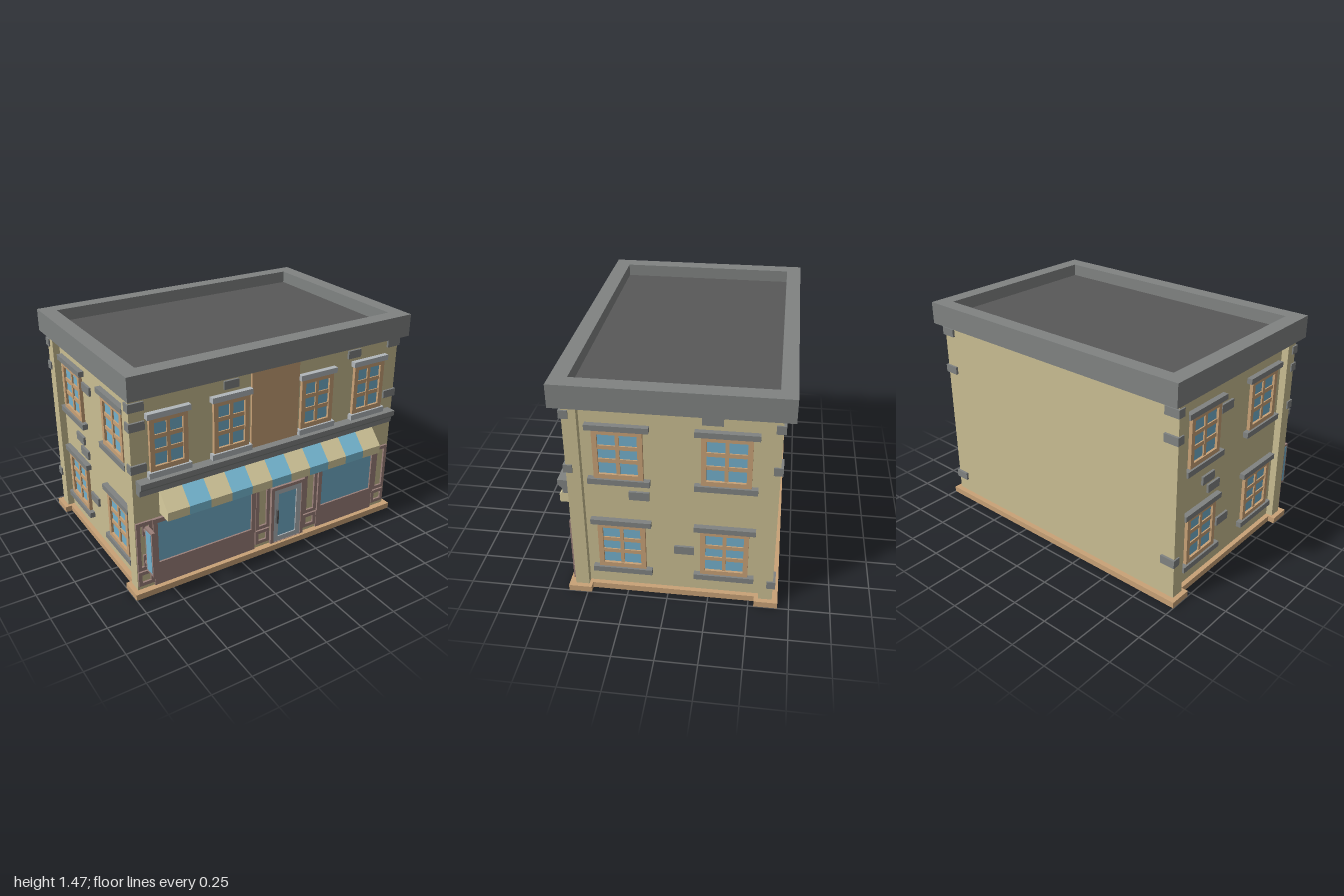
import * as THREE from 'three';

const mat = (name, color) => {
  const m = new THREE.MeshStandardMaterial({ color });
  m.name = name;
  return m;
};

export function createModel() {
  const wall = mat('sand wall', 0xcabe92), wood = mat('tan wood', 0xc9a277), stone = mat('grey stone', 0x808382);
  const trim = mat('pale grey trim', 0xb1b6ba), glass = mat('blue glass', 0x74b1cc), plum = mat('dusty plum', 0x9c817b);
  const deck = mat('dark roof', 0x585858), cream = mat('cream cloth', 0xd8cc9e), sky = mat('blue cloth', 0x7abfda);
  const root = new THREE.Group();
  root.name = 'shopBuilding';

  const add = (name, geo, material, parent = root) => {
    const m = new THREE.Mesh(geo, material);
    m.name = name;
    parent.add(m);
    return m;
  };
  // Box given by its limits on each axis
  const box = (name, material, x0, x1, y0, y1, z0, z1, parent = root) => {
    const g = new THREE.BoxGeometry(x1 - x0, y1 - y0, z1 - z0);
    g.translate((x0 + x1) / 2, (y0 + y1) / 2, (z0 + z1) / 2);
    return add(name, g, material, parent);
  };
  const shapeOf = (pts) => new THREE.Shape(pts.map(([x, y]) => new THREE.Vector2(x, y)));
  const rect = (x0, x1, y0, y1) => [[x0, y0], [x1, y0], [x1, y1], [x0, y1]];
  const extrude = (shape, depth) => new THREE.ExtrudeGeometry(shape, { depth, bevelEnabled: false });
  // Upright rectangular frame with border t, from z0 to z1
  const frame = (name, material, x0, x1, y0, y1, t, z0, z1, parent = root) => {
    const s = shapeOf(rect(x0, x1, y0, y1));
    s.holes.push(shapeOf(rect(x0 + t, x1 - t, y0 + t, y1 - t)));
    return add(name, extrude(s, z1 - z0).translate(0, 0, z0), material, parent);
  };
  // Floor plan raised from y0 to y1
  const plan = (name, material, shape, y0, y1) =>
    add(name, extrude(shape, y1 - y0).rotateX(-Math.PI / 2).translate(0, y0, 0), material);
  // Side profile in (z, y) stretched from x0 to x1
  const profile = (name, material, pts, x0, x1) =>
    add(name, extrude(shapeOf(pts), x1 - x0).rotateY(-Math.PI / 2).translate(x1, 0, 0), material);
  // Outline with set-back side walls between the corner piers
  const notched = (x, inset, back, backStep, frontStep, front) => {
    const right = [[x, -front], [x, -frontStep], [x - inset, -frontStep], [x - inset, -backStep], [x, -backStep], [x, -back]];
    return shapeOf([...right, ...right.map(([a, b]) => [-a, b]).reverse()]);
  };

  // Base, walls and roof
  plan('base', wood, notched(1, 0.045, -0.68, -0.535, 0.475, 0.62), 0, 0.04);
  plan('walls', wall, notched(0.97, 0.045, -0.645, -0.56, 0.495, 0.58), 0.04, 1.32);
  const parapet = shapeOf(rect(-1, 1, -0.647, 0.71));
  parapet.holes.push(shapeOf(rect(-0.9, 0.9, -0.545, 0.615)));
  plan('parapet', stone, parapet, 1.32, 1.465);
  box('roofDeck', deck, -0.9, 0.9, 1.325, 1.385, -0.615, 0.545);
  box('roofUnderside', stone, -0.95, 0.95, 1.32, 1.325, -0.66, 0.6);

  // Six-pane window, facing +z, its frame standing on y = 0
  const makeWindow = (name, w, h, ledge, ledgeMat) => {
    const g = new THREE.Group();
    g.name = name;
    const a = w / 2, t = 0.03;
    frame('windowFrame', wood, -a, a, 0, h, t, 0, 0.022, g);
    box('pane', glass, -a + t, a - t, t, h - t, 0, 0.006, g);
    box('mullion', wood, -0.011, 0.011, t, h - t, 0, 0.016, g);
    for (const k of [1, 2]) {
      const y = t + ((h - 2 * t) * k) / 3;
      box('glazingBar', wood, -a + t, a - t, y - 0.013, y + 0.013, 0, 0.014, g);
    }
    box('lintel', ledgeMat, -ledge / 2, ledge / 2, h, h + 0.035, 0, 0.035, g);
    box('sill', ledgeMat, -ledge / 2, ledge / 2, -0.037, 0, 0, 0.035, g);
    root.add(g);
    return g;
  };
  for (const x of [-0.735, -0.318, 0.312, 0.73])
    makeWindow('frontWindow', 0.245, 0.333, 0.278, trim).position.set(x, 0.837, 0.58);
  for (const side of [-1, 1])
    for (const z of [0.279, -0.343])
      for (const y of [0.18, 0.84]) {
        const w = makeWindow('sideWindow', 0.29, 0.327, 0.366, stone);
        w.position.set(side * 0.925, y, z);
        w.rotation.y = (side * Math.PI) / 2;
      }

  // Corner stones: [side, front (1) or back (-1), height]
  for (const [sx, sz, y] of [
    [-1, 1, 1.255], [-1, 1, 1.137], [-1, 1, 0.873], [1, 1, 1.27], [1, 1, 0.91],
    [1, -1, 1.26], [1, -1, 0.99], [1, -1, 0.16], [-1, -1, 1.26], [-1, -1, 1.095], [-1, -1, 0.29],
  ]) {
    const x = sx * 0.929, z = sz > 0 ? 0.567 : -0.633;
    box('cornerStone', stone, x - 0.05, x + 0.05, y - 0.026, y + 0.026, z - 0.027, z + 0.027);
  }
  // Loose bricks on front and sides
  for (const x of [-0.315, 0.603]) box('frontBrick', stone, x - 0.05, x + 0.05, 1.23, 1.282, 0.57, 0.595);
  for (const [sx, z, y] of [
    [1, -0.26, 1.265], [1, 0.165, 0.722], [1, -0.1, 0.343],
    [-1, -0.12, 1.1], [-1, -0.28, 0.69], [-1, -0.22, 0.61], [-1, -0.105, 0.315],
  ])
    box('sideBrick', stone, sx * 0.925 - 0.015, sx * 0.925 + 0.015, y - 0.028, y + 0.028, z - 0.06, z + 0.06);

  // Upper panel, cornice and striped awning
  box('upperPanel', wood, -0.175, 0.17, 0.8, 1.32, 0.57, 0.596);
  profile('cornice', stone, [[0.57, 0.71], [0.622, 0.71], [0.622, 0.742], [0.648, 0.766], [0.648, 0.8], [0.57, 0.8]], -0.947, 0.94);
  const stripe = 1.605 / 11;
  for (let i = 0; i < 11; i++) {
    const x = -0.805 + i * stripe;
    profile('awningStripe', i % 2 ? sky : cream,
      [[0.578, 0.537], [0.688, 0.537], [0.688, 0.592], [0.578, 0.708]], x, x + stripe);
  }

  // Shop windows over plum panels
  for (const [x0, x1] of [[-0.858, -0.135], [0.364, 0.851]]) {
    box('stallPanel', plum, x0, x1, 0.04, 0.176, 0.57, 0.59);
    frame('shopWindowFrame', plum, x0, x1, 0.176, 0.515, 0.029, 0.57, 0.598);
    box('shopGlass', glass, x0 + 0.029, x1 - 0.029, 0.205, 0.486, 0.575, 0.586);
  }
  // Panelled pilasters
  for (const x of [-0.913, -0.075, 0.305, 0.905]) {
    frame('pilasterPanel', plum, x - 0.053, x + 0.053, 0.18, 0.515, 0.024, 0.57, 0.593);
    frame('pilasterFoot', plum, x - 0.053, x + 0.053, 0.07, 0.17, 0.023, 0.57, 0.593);
  }
  // Door
  frame('doorSurround', plum, -0.012, 0.248, 0.02, 0.46, 0.022, 0.57, 0.6);
  box('door', trim, 0.01, 0.226, 0.04, 0.438, 0.57, 0.586);
  frame('doorRim', trim, 0.01, 0.226, 0.04, 0.438, 0.037, 0.58, 0.594);
  box('doorGlass', glass, 0.05, 0.186, 0.08, 0.398, 0.584, 0.589);
  box('doorHandle', deck, 0.027, 0.04, 0.19, 0.29, 0.59, 0.61);

  // Hanging sign with brackets
  box('signBoard', plum, -0.924, -0.902, 0.2, 0.505, 0.62, 0.71);
  for (const x of [-0.924, -0.902]) box('signFace', glass, x - 0.002, x + 0.002, 0.217, 0.488, 0.634, 0.697);
  for (const y of [0.24, 0.465]) {
    box('signBracket', plum, -0.92, -0.906, y - 0.007, y + 0.007, 0.58, 0.622);
    box('bracketPlate', plum, -0.925, -0.901, y - 0.045, y + 0.045, 0.575, 0.59);
  }
  return root;
}
